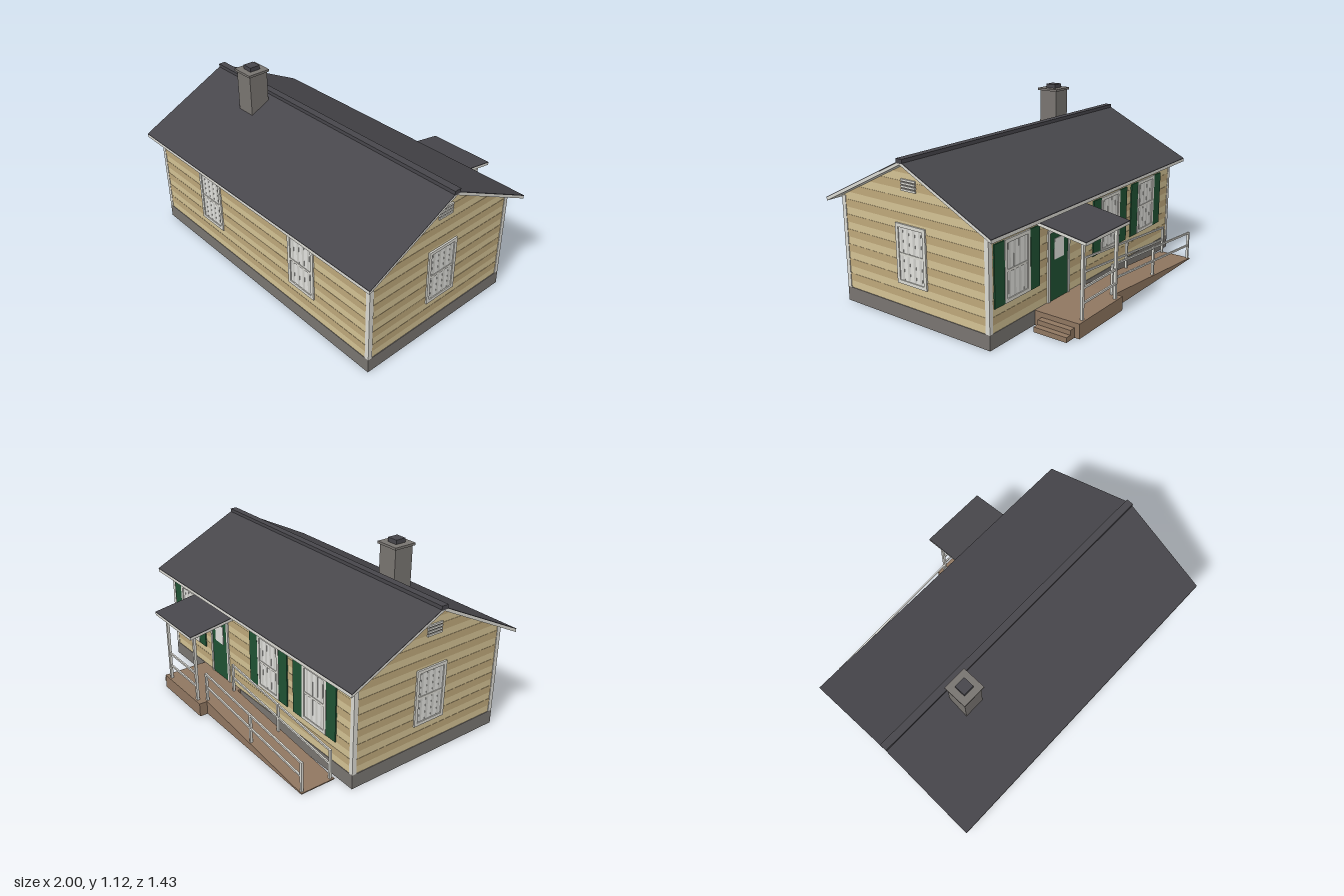
import * as THREE from 'three';

const paint = (name, color) => Object.assign(new THREE.MeshStandardMaterial({ color }), { name });
const M = {
  shingle: paint('shingle charcoal', 0x47464b),
  trim: paint('trim white', 0xdad9d2),
  siding: paint('siding light', 0xd2c193),
  sidingDark: paint('siding dark', 0xbda77a),
  stone: paint('foundation grey', 0x787470),
  wood: paint('deck brown', 0x8f7660),
  green: paint('shutter green', 0x1f5233),
  curtain: paint('curtain', 0xe0e0dc),
  fold: paint('curtain fold', 0xcdcdc8),
};

// Main dimensions
const X = 0.94, ZF = 0.652, ZB = -0.397, ZC = (ZF + ZB) / 2;
const BASE = 0.085, RIDGE = 0.125, ROW = 0.044;
const underRoof = (z) => 0.893 - 0.495 * Math.abs(z - RIDGE);

// Box given by its min and max on each axis
function box(parent, name, mat, x0, x1, y0, y1, z0, z1) {
  const m = new THREE.Mesh(new THREE.BoxGeometry(x1 - x0, y1 - y0, z1 - z0), mat);
  m.position.set((x0 + x1) / 2, (y0 + y1) / 2, (z0 + z1) / 2);
  m.name = name;
  parent.add(m);
  return m;
}

// Profile of [z, y] points swept along x
function sweepX(parent, name, mat, pts, x0, x1) {
  const shape = new THREE.Shape(pts.map(([z, y]) => new THREE.Vector2(z, y)));
  const g = new THREE.ExtrudeGeometry(shape, { depth: x1 - x0, bevelEnabled: false });
  g.rotateY(-Math.PI / 2).translate(x1, 0, 0);
  const m = new THREE.Mesh(g, mat);
  m.name = name;
  parent.add(m);
  return m;
}

// Profile of [x, y] points swept along z
function sweepZ(parent, name, mat, pts, z0, z1) {
  const shape = new THREE.Shape(pts.map(([x, y]) => new THREE.Vector2(x, y)));
  const g = new THREE.ExtrudeGeometry(shape, { depth: z1 - z0, bevelEnabled: false });
  const m = new THREE.Mesh(g.translate(0, 0, z0), mat);
  m.name = name;
  parent.add(m);
  return m;
}

// Sash window facing +z, centred on its own origin
function makeWindow(w = 0.21, h = 0.34) {
  const g = new THREE.Group(), a = w / 2, b = h / 2, t = 0.02;
  g.name = 'window';
  box(g, 'curtain', M.curtain, -a + t, a - t, -b + t, b - t, -0.024, 0.003);
  for (let i = 0; i < 4; i++) {
    const x = -a + t + (w - 2 * t) * (i + 0.3) / 4;
    box(g, 'curtainFold', M.fold, x, x + 0.018, -b + t, b - t, 0.003, 0.004);
  }
  for (const s of [-1, 1]) {
    const x = s * (a - t / 2), y = s * (b - t / 2);
    box(g, 'windowJamb', M.trim, x - t / 2, x + t / 2, -b, b, -0.028, 0.009);
    box(g, 'windowRail', M.trim, -a + t, a - t, y - t / 2, y + t / 2, -0.028, 0.009);
  }
  box(g, 'meetingRail', M.trim, -a + t, a - t, -0.007, 0.007, -0.026, 0.007);
  return g;
}

// Gable vent facing +z
function makeVent() {
  const g = new THREE.Group();
  g.name = 'gableVent';
  box(g, 'ventBack', M.stone, -0.05, 0.05, -0.03, 0.03, -0.004, 0.004);
  for (let i = 0; i < 4; i++) {
    const y = -0.026 + i * 0.0175;
    box(g, 'ventSlat', M.trim, -0.052, 0.052, y - 0.0055, y + 0.0055, 0, 0.009);
  }
  return g;
}

function place(parent, obj, x, y, z, turn = 0) {
  obj.position.set(x, y, z);
  obj.rotation.y = turn;
  parent.add(obj);
}

function buildShell(house) {
  // Foundation ring, open underneath
  const F = 0.03;
  box(house, 'foundation', M.stone, -X, X, 0, BASE, ZF - F, ZF + 0.003);
  box(house, 'foundation', M.stone, -X, X, 0, BASE, ZB - 0.003, ZB + F);
  for (const s of [-1, 1])
    box(house, 'foundation', M.stone, s > 0 ? X - F : -X, s > 0 ? X : F - X, 0, BASE, ZB + F, ZF - F);

  // Long walls and gable walls
  const T = 0.014, e = 0.003, xw = X - 0.004;
  const top = underRoof(ZF);
  box(house, 'frontWall', M.siding, -xw, xw, BASE, top, ZF - T, ZF);
  box(house, 'backWall', M.siding, -xw, xw, BASE, top, ZB, ZB + T);
  const gable = [[ZB + T, BASE], [ZF - T, BASE], [ZF - T, underRoof(ZF - T)],
    [RIDGE, underRoof(RIDGE)], [ZB + T, underRoof(ZB + T)]];
  for (const s of [-1, 1])
    sweepX(house, 'gableWall', M.siding, gable, s > 0 ? xw - T : -xw, s > 0 ? xw : T - xw);

  // Darker siding courses
  for (let y = BASE + ROW; y < 0.85; y += 2 * ROW) {
    const y1 = y + ROW;
    if (y1 < top + 0.02) {
      box(house, 'sidingCourse', M.sidingDark, -xw, xw, y, Math.min(y1, top), ZF, ZF + 0.0015);
      box(house, 'sidingCourse', M.sidingDark, -xw, xw, y, Math.min(y1, top), ZB - 0.0015, ZB);
    }
    const half = (v) => (0.893 - v) / 0.495;
    const back = (v) => Math.max(ZB, RIDGE - half(v)), front = (v) => Math.min(ZF, RIDGE + half(v));
    const band = [[back(y), y], [front(y), y], [front(y1), y1], [back(y1), y1]];
    sweepX(house, 'sidingCourse', M.sidingDark, band, xw, xw + 0.0015);
    sweepX(house, 'sidingCourse', M.sidingDark, band, -xw - 0.0015, -xw);
  }

  // Corner boards
  for (const s of [-1, 1]) for (const [z, d] of [[ZF, 1], [ZB, -1]]) {
    const xo = s * X, xi = s * (X - 0.026), zo = z + d * e, zi = z - d * 0.024;
    box(house, 'cornerBoard', M.trim, Math.min(xo, xi), Math.max(xo, xi), BASE, top, Math.min(zo, zi), Math.max(zo, zi));
  }
}

function buildRoof(house) {
  // Trim-edged slab with a thin shingle skin on each slope
  const e0 = -0.468, e1 = 0.716;
  const under = [[e1, 0.6], [RIDGE, 0.893], [e0, 0.6]];
  sweepX(house, 'roofDeck', M.trim, [[e0, 0.618], [RIDGE, 0.911], [e1, 0.618], ...under], -0.998, 0.998);
  sweepX(house, 'shingles', M.shingle, [[e0, 0.618], [RIDGE, 0.911], [e1, 0.618],
    [e1, 0.622], [RIDGE, 0.915], [e0, 0.622]], -1, 1);
  box(house, 'ridgeCap', M.shingle, -1, 1, 0.9, 0.925, 0.103, 0.147);

  // Chimney
  box(house, 'chimney', M.stone, -0.565, -0.44, 0.8, 1.076, 0.18, 0.305);
  box(house, 'chimneyCap', M.stone, -0.575, -0.43, 1.076, 1.09, 0.17, 0.315);
  box(house, 'chimneyFlue', M.shingle, -0.536, -0.469, 1.09, 1.115, 0.209, 0.276);
}

function buildOpenings(house) {
  const y = 0.385, h = 0.34;
  for (const x of [-0.42, 0.415]) place(house, makeWindow(), x, y, ZF);
  for (const s of [-1, 1]) {
    place(house, makeWindow(0.215), s * (X - 0.003), y, 0.128, s * Math.PI / 2);
    place(house, makeVent(), s * (X - 0.003), 0.77, 0.128, s * Math.PI / 2);
  }
  // Back windows with louvred shutters
  for (const x of [0.715, -0.185, -0.615]) {
    place(house, makeWindow(), x, y, ZB, Math.PI);
    for (const s of [-1, 1]) {
      const c = x + s * 0.147;
      box(house, 'shutter', M.green, c - 0.04, c + 0.04, y - h / 2, y + h / 2, ZB - 0.008, ZB);
    }
  }
  // Back door with a small pane
  const c = 0.35, z = ZB;
  box(house, 'door', M.green, c - 0.085, c + 0.085, BASE, 0.48, z - 0.006, z + 0.02);
  box(house, 'doorPane', M.curtain, c - 0.045, c + 0.045, 0.32, 0.44, z - 0.009, z);
  for (const s of [-1, 1])
    box(house, 'doorJamb', M.trim, c + s * 0.094 - 0.009, c + s * 0.094 + 0.009, BASE, 0.498, z - 0.01, z + 0.02);
  box(house, 'doorHead', M.trim, c - 0.085, c + 0.085, 0.48, 0.498, z - 0.01, z + 0.02);
}

function buildPorch(house) {
  const x0 = 0.132, x1 = 0.566, zw = ZB - 0.003;
  box(house, 'porchDeck', M.wood, x0, x1, 0, BASE, -0.685, zw);
  box(house, 'upperStep', M.wood, x1, 0.604, 0, 0.056, -0.655, -0.445);
  box(house, 'lowerStep', M.wood, 0.604, 0.64, 0, 0.029, -0.655, -0.445);

  // Sloping porch roof
  const line = (a, b) => [[zw, 0.583 + a], [-0.716, 0.532 + a], [-0.716, 0.532 + b], [zw, 0.583 + b]];
  sweepX(house, 'porchRoof', M.trim, line(-0.016, 0), x0 + 0.001, x1 - 0.001);
  sweepX(house, 'porchShingles', M.shingle, line(0, 0.004), x0, x1);

  // Porch posts and the rails between them
  for (const x of [0.185, 0.515]) box(house, 'porchPost', M.trim, x - 0.008, x + 0.008, BASE, 0.53, -0.674, -0.658);
  for (const y of [0.26, 0.175]) box(house, 'porchRail', M.trim, 0.185, 0.515, y - 0.006, y + 0.006, -0.671, -0.661);

  // Access ramp with a handrail on each side
  const end = -0.82, low = 0.006;
  const rampY = (x) => low + (BASE - low) * (x - end) / (x0 - end);
  sweepZ(house, 'ramp', M.wood, [[end, 0], [x0, 0], [x0, BASE], [end, low]], -0.635, -0.42);
  for (const z of [-0.622, -0.438]) {
    for (const x of [0.145, -0.33, -0.805])
      box(house, 'rampPost', M.trim, x - 0.007, x + 0.007, rampY(x) - 0.004, rampY(x) + 0.18, z - 0.007, z + 0.007);
    for (const up of [0.18, 0.095]) {
      const a = rampY(-0.812) + up, b = rampY(0.152) + up;
      sweepZ(house, 'rampRail', M.trim, [[-0.812, a - 0.011], [0.152, b - 0.011], [0.152, b], [-0.812, a]], z - 0.005, z + 0.005);
    }
  }
}

export function createModel() {
  const house = new THREE.Group();
  house.name = 'house';
  buildShell(house);
  buildRoof(house);
  buildOpenings(house);
  buildPorch(house);
  return house;
}
